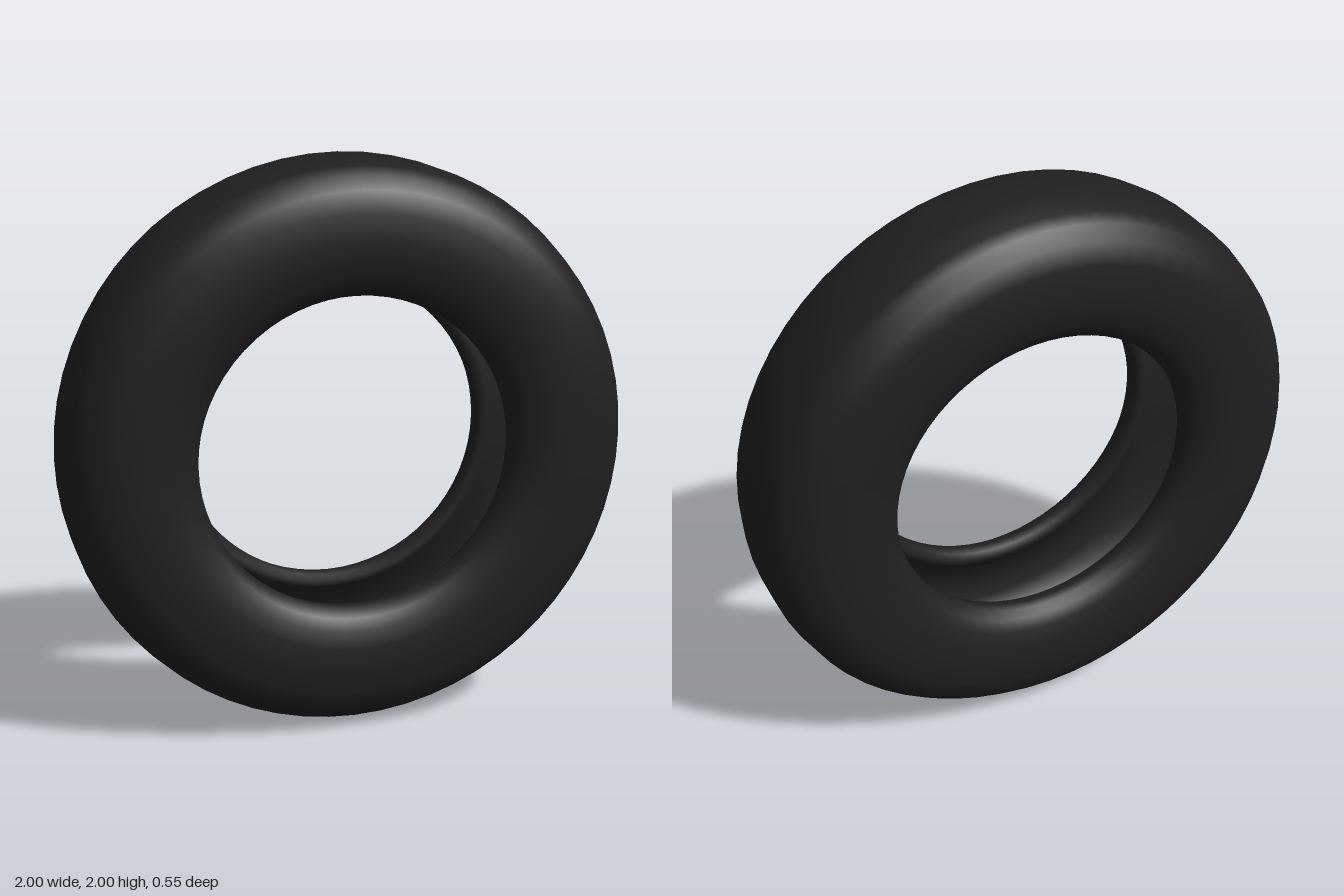
import * as THREE from 'three';

export function createModel() {
  const model = new THREE.Group();
  model.name = 'tyre';
  const rubber = new THREE.MeshStandardMaterial({ color: 0x202020, side: THREE.DoubleSide });
  rubber.name = 'black rubber';

  // Half section as [radius, offset from the middle]: tread, sidewall, rounded bead, hollow lining
  const half = [
    [1.0, 0.07], [0.98, 0.165], [0.955, 0.2], [0.91, 0.247], [0.84, 0.268], [0.75, 0.275],
    [0.68, 0.271], [0.62, 0.257], [0.58, 0.235], [0.557, 0.208], [0.55, 0.18],
    [0.556, 0.15], [0.575, 0.133], [0.6, 0.14],
    [0.66, 0.19], [0.74, 0.215], [0.83, 0.21], [0.9, 0.17], [0.935, 0.09], [0.94, 0],
  ];

  // Mirror the half section into one closed loop, starting and ending inside the hollow
  const mirrored = half.map(([r, z]) => [r, -z]).reverse();
  const loop = [...mirrored, ...half].map(([r, z]) => new THREE.Vector2(r, z));

  const tyre = new THREE.Mesh(new THREE.LatheGeometry(loop, 64), rubber);
  tyre.name = 'tyreCarcass';
  tyre.geometry.rotateX(Math.PI / 2);
  tyre.position.y = 1;
  model.add(tyre);
  return model;
}
